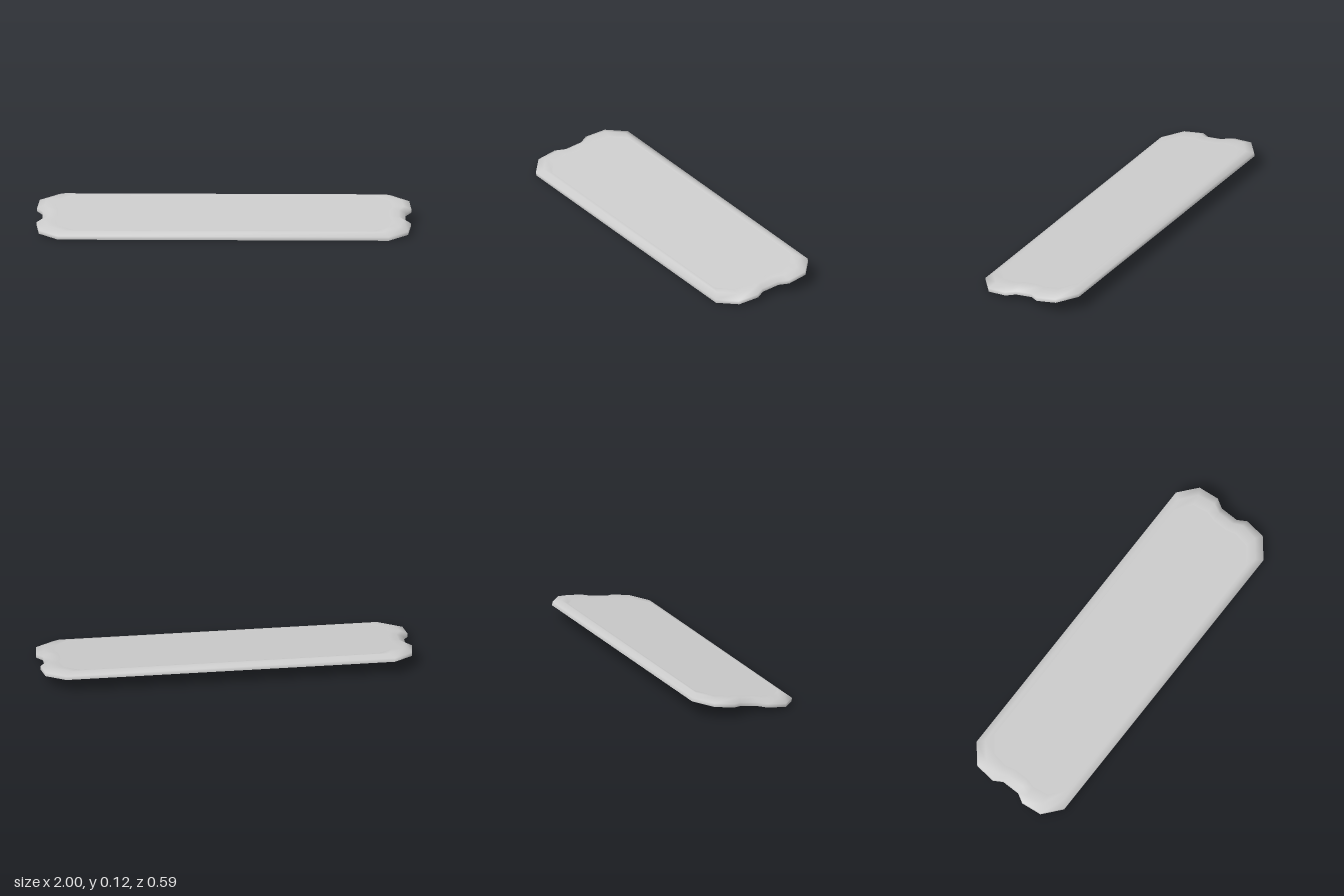
import * as THREE from 'three';

const material = new THREE.MeshStandardMaterial({ color: 0xcccccc });

// Closed outline from one quarter (notch to long edge), mirrored in both axes
function outline(quarter) {
  const half = [...quarter, ...quarter.map(([x, y]) => [-x, y]).reverse()];
  return [...half, ...half.map(([x, y]) => [-x, -y])];
}

const edge = outline([[0.97, 0.05], [1, 0.1], [0.987, 0.213], [0.885, 0.296]]);
const ridge = outline([[0.935, 0.045], [0.96, 0.095], [0.945, 0.19], [0.855, 0.263]]);
const inner = outline([[0.885, 0.04], [0.9, 0.095], [0.885, 0.18], [0.8, 0.245]]);

// Smooth band skinned through stacked outlines
function band(rings) {
  const n = rings[0].points.length, positions = [], index = [];
  for (const { points, h } of rings) for (const [x, y] of points) positions.push(x, h, -y);
  for (let r = 0; r < rings.length - 1; r++) {
    for (let i = 0; i < n; i++) {
      const a = r * n + i, b = r * n + (i + 1) % n;
      index.push(a, b, b + n, a, b + n, a + n);
    }
  }
  const g = new THREE.BufferGeometry();
  g.setAttribute('position', new THREE.Float32BufferAttribute(positions, 3));
  g.setIndex(index);
  g.computeVertexNormals();
  return g;
}

// Flat cap filling one outline, facing up or down
function cap(points, h, up) {
  const shape = new THREE.Shape(points.map(([x, y]) => new THREE.Vector2(x, y)));
  return new THREE.ShapeGeometry(shape).rotateX(up ? -Math.PI / 2 : Math.PI / 2).translate(0, h, 0);
}

export function createModel() {
  const model = new THREE.Group();
  model.name = 'plaque';
  const plate = new THREE.Group();
  plate.name = 'tiltedPlate';
  const add = (name, geometry) => {
    const mesh = new THREE.Mesh(geometry, material);
    mesh.name = name;
    plate.add(mesh);
  };

  // Rim: upright wall, bevel up to the ridge, slight drop to the panel
  add('rim', band([
    { points: edge, h: 0 },
    { points: edge, h: 0.02 },
    { points: ridge, h: 0.038 },
    { points: inner, h: 0.035 },
  ]));
  add('panel', cap(inner, 0.035, true));
  add('underside', cap(edge, 0, false));

  // Lean the plate so its back edge is raised
  plate.rotation.x = 0.1415;
  plate.position.set(0, 0.042, -0.001);
  model.add(plate);
  return model;
}
